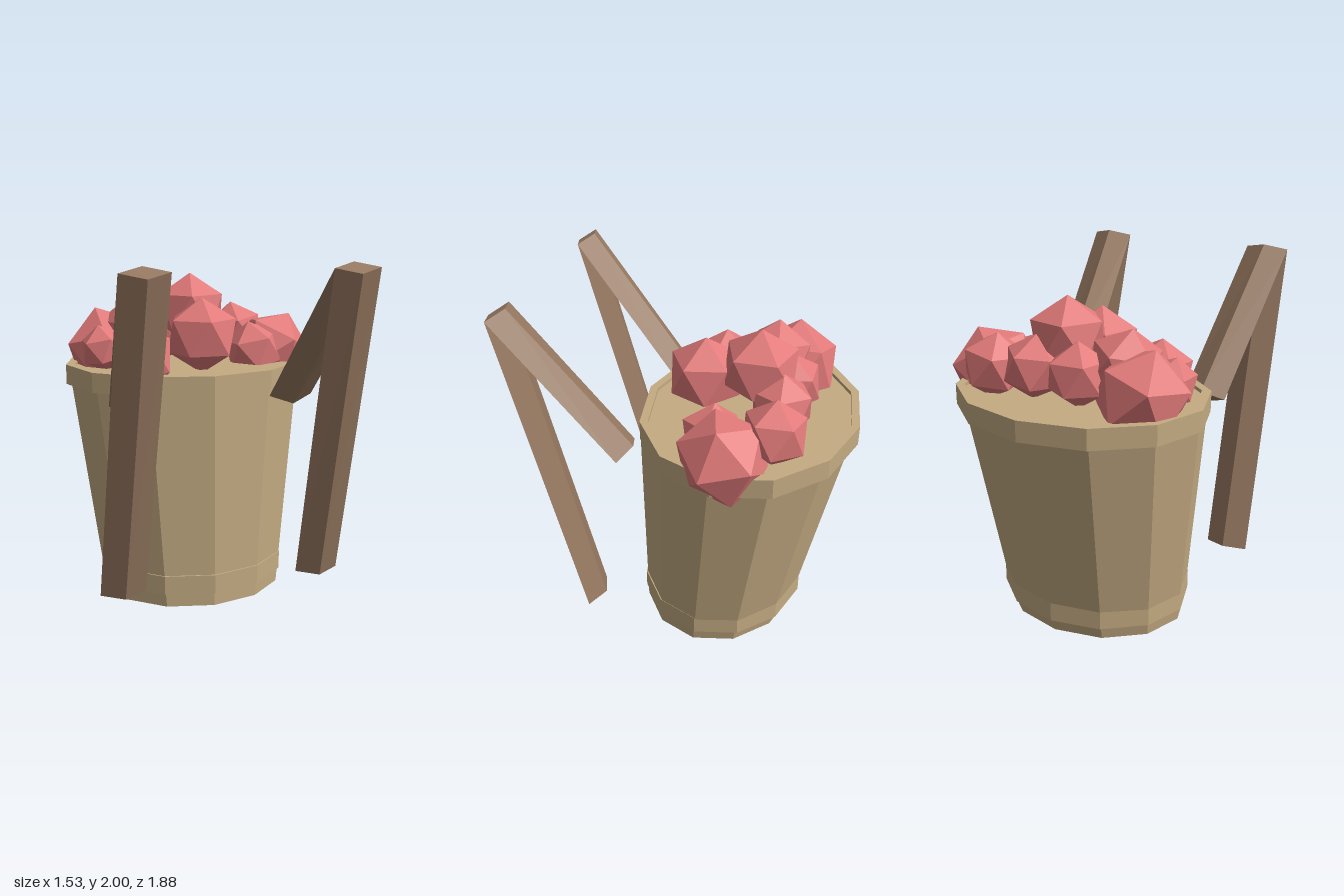
import * as THREE from 'three';

const CX = -0.03; // basket and handle symmetry axis

const material = (color) => new THREE.MeshStandardMaterial({ color, flatShading: true });

// Skin a row of cross-sections (counter-clockwise from above), optionally capping the ends
function loft(sections, capStart, capEnd) {
  const pos = [];
  const tri = (...pts) => pts.forEach((p) => pos.push(p.x, p.y, p.z));
  const n = sections[0].length;
  for (let s = 0; s < sections.length - 1; s++) {
    const a = sections[s], b = sections[s + 1];
    for (let i = 0; i < n; i++) {
      const j = (i + 1) % n;
      tri(a[i], a[j], b[j]);
      tri(a[i], b[j], b[i]);
    }
  }
  const first = sections[0], last = sections[sections.length - 1];
  for (let i = 1; i < n - 1; i++) {
    if (capStart) tri(first[0], first[i + 1], first[i]);
    if (capEnd) tri(last[0], last[i], last[i + 1]);
  }
  const geo = new THREE.BufferGeometry();
  geo.setAttribute('position', new THREE.Float32BufferAttribute(pos, 3));
  geo.computeVertexNormals();
  return geo;
}

// Twelve-sided oval at height y
function oval(y, cz, rx, rz) {
  return Array.from({ length: 12 }, (_, i) => {
    const a = (i / 12) * Math.PI * 2;
    return new THREE.Vector3(CX + rx * Math.sin(a), y, cz + rz * Math.cos(a));
  });
}

// Diamond section of a handle bar: front and back corners given as [y, z]
function diamond(x, front, back) {
  const y = (front[0] + back[0]) / 2, z = (front[1] + back[1]) / 2, w = 0.126;
  return [
    new THREE.Vector3(x, ...front),
    new THREE.Vector3(x + w, y, z),
    new THREE.Vector3(x, ...back),
    new THREE.Vector3(x - w, y, z),
  ];
}

export function createModel() {
  const model = new THREE.Group();
  const basketMat = material(0xc4ab82);
  const woodMat = material(0x967860);
  const fruitMat = material(0xe27a7a);

  const add = (parent, name, geo, mat) => {
    const mesh = new THREE.Mesh(geo, mat);
    mesh.name = name;
    parent.add(mesh);
    return mesh;
  };

  // Basket: straight at the front, flaring towards the back
  const basket = new THREE.Group();
  basket.name = 'basket';
  model.add(basket);
  add(basket, 'basketBody', loft([
    oval(0, -0.182, 0.542, 0.457),
    oval(1.335, -0.322, 0.705, 0.598),
  ], true, true), basketMat);

  // Rim hoop
  add(basket, 'rimHoop', loft([
    oval(1.24, -0.332, 0.66, 0.56),
    oval(1.24, -0.332, 0.722, 0.608),
    oval(1.355, -0.332, 0.722, 0.608),
    oval(1.355, -0.332, 0.67, 0.563),
    oval(1.33, -0.332, 0.67, 0.563),
  ]), basketMat);

  // Lower hoop
  add(basket, 'lowerHoop', loft([
    oval(0.08, -0.197, 0.5, 0.42),
    oval(0.08, -0.197, 0.565, 0.482),
    oval(0.19, -0.197, 0.565, 0.482),
    oval(0.19, -0.197, 0.5, 0.42),
  ]), basketMat);

  // Two bent carrying straps, each a long and a short bar meeting at the top
  for (const side of [-1, 1]) {
    const strap = new THREE.Group();
    strap.name = side > 0 ? 'leftStrap' : 'rightStrap';
    model.add(strap);
    const top = diamond(CX + side * 0.532, [1.947, 0.942], [2.0, 0.838]);
    add(strap, 'longBar', loft([
      diamond(CX + side * 0.568, [0.2, 0.476], [0.23, 0.36]), top,
    ], true, true), woodMat);
    add(strap, 'shortBar', loft([
      diamond(CX + side * 0.46, [1.175, 0.288], [1.258, 0.192]), top,
    ], true, true), woodMat);
  }

  // Heap of faceted fruit: x, y, z, radius, turn, tilt
  const fruits = new THREE.Group();
  fruits.name = 'fruitHeap';
  model.add(fruits);
  const heap = [
    [0.0, 1.53, -0.07, 0.22, 0.3, 0],
    [0.02, 1.643, -0.385, 0.222, 0.1, 0],
    [-0.36, 1.42, -0.07, 0.195, 0.5, 0.1],
    [-0.33, 1.53, -0.38, 0.21, 0.9, 0.2],
    [-0.47, 1.42, -0.46, 0.26, 0.2, 0.3],
    [-0.54, 1.45, -0.27, 0.14, 0.6, 0.2],
    [-0.13, 1.49, -0.52, 0.18, 0.4, 0],
    [0.13, 1.5, -0.54, 0.18, 0.8, 0.1],
    [0.37, 1.48, -0.57, 0.185, 0.2, 0.15],
    [0.53, 1.38, -0.35, 0.255, 0.4, -0.5],
    [0.38, 1.4, -0.24, 0.18, 0.7, 0.2],
  ];
  for (const [x, y, z, r, turn, tilt] of heap) {
    const geo = new THREE.IcosahedronGeometry(r, 0);
    geo.rotateZ(0.5536); // stand on a corner
    geo.rotateY(turn);
    geo.rotateZ(tilt);
    add(fruits, 'fruit', geo, fruitMat).position.set(x, y, z);
  }

  return model;
}
